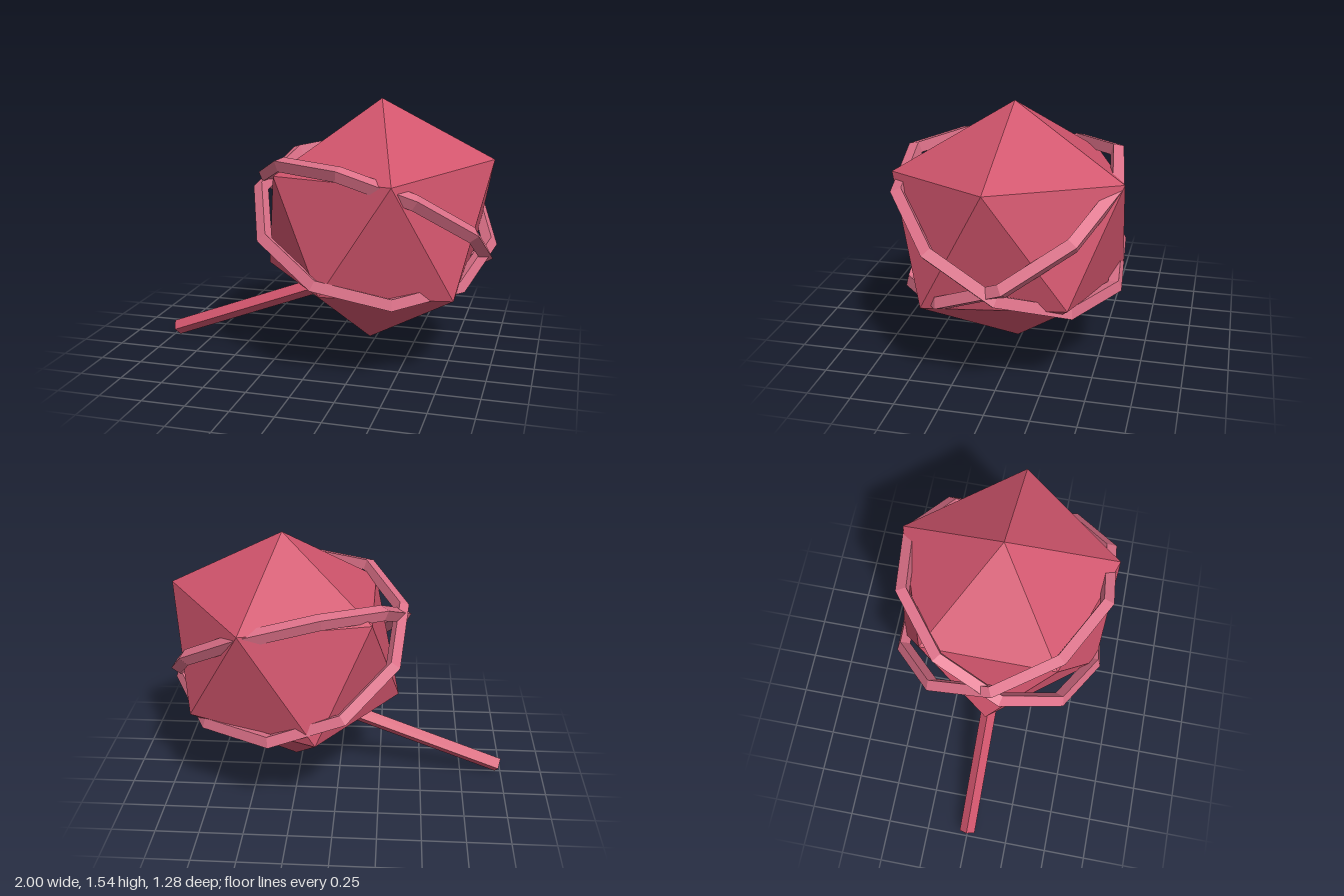
import * as THREE from 'three';
import { ConvexGeometry } from 'three/addons/geometries/ConvexGeometry.js';

const V = (x, y, z) => new THREE.Vector3(x, y, z);
const mat = (color) => new THREE.MeshStandardMaterial({ color, flatShading: true });

export function createModel() {
  const model = new THREE.Group();
  const candy = mat(0xd0546c);
  const trim = mat(0xdc7088);

  const add = (name, geometry, material) => {
    const mesh = new THREE.Mesh(geometry, material);
    mesh.name = name;
    model.add(mesh);
    return mesh;
  };

  // Slightly uneven twenty-sided head: apex, upper five, lower five, base
  add('head', new ConvexGeometry([
    V(0.325, 1.54, -0.02),
    V(0.975, 1.22, 0), V(0.515, 1.155, 0.625), V(-0.2, 1.135, 0.38),
    V(-0.2, 1.14, -0.4), V(0.5, 1.165, -0.645),
    V(0.82, 0.5, 0.39), V(0.12, 0.53, 0.6), V(-0.355, 0.525, 0),
    V(0.1, 0.5, -0.61), V(0.83, 0.57, -0.41),
    V(0.27, 0.1, -0.02),
  ]), candy);

  // Ten-sided bands with a diamond section, crossing each other around the head.
  // slopeX and slopeZ tilt the band's plane; startZ turns its first corner.
  const band = (name, slopeX, slopeZ, startZ) => {
    const mesh = add(name, new THREE.TorusGeometry(0.685, 0.045, 4, 10), trim);
    const normal = V(-slopeX, 1, -slopeZ).normalize();
    const start = V(0.67, slopeX * 0.67 + slopeZ * startZ, startZ).normalize();
    const side = normal.clone().cross(start);
    mesh.quaternion.setFromRotationMatrix(new THREE.Matrix4().makeBasis(start, side, normal));
    mesh.position.set(0.29, 0.86, -0.005);
  };
  band('bandHighInFront', -0.29, 0.55, -0.05);
  band('bandHighBehind', -0.29, -0.55, -0.09);

  // Square stick lying on its edge, running into the underside of the head
  const from = V(-0.982, 0.045, 0);
  const to = V(0.2, 0.5, 0);
  const axis = to.clone().sub(from);
  const stick = add('stick', new THREE.CylinderGeometry(0.047, 0.047, axis.length(), 4), candy);
  stick.position.copy(from).add(to).multiplyScalar(0.5);
  stick.quaternion.setFromUnitVectors(V(0, 1, 0), axis.normalize());

  return model;
}
